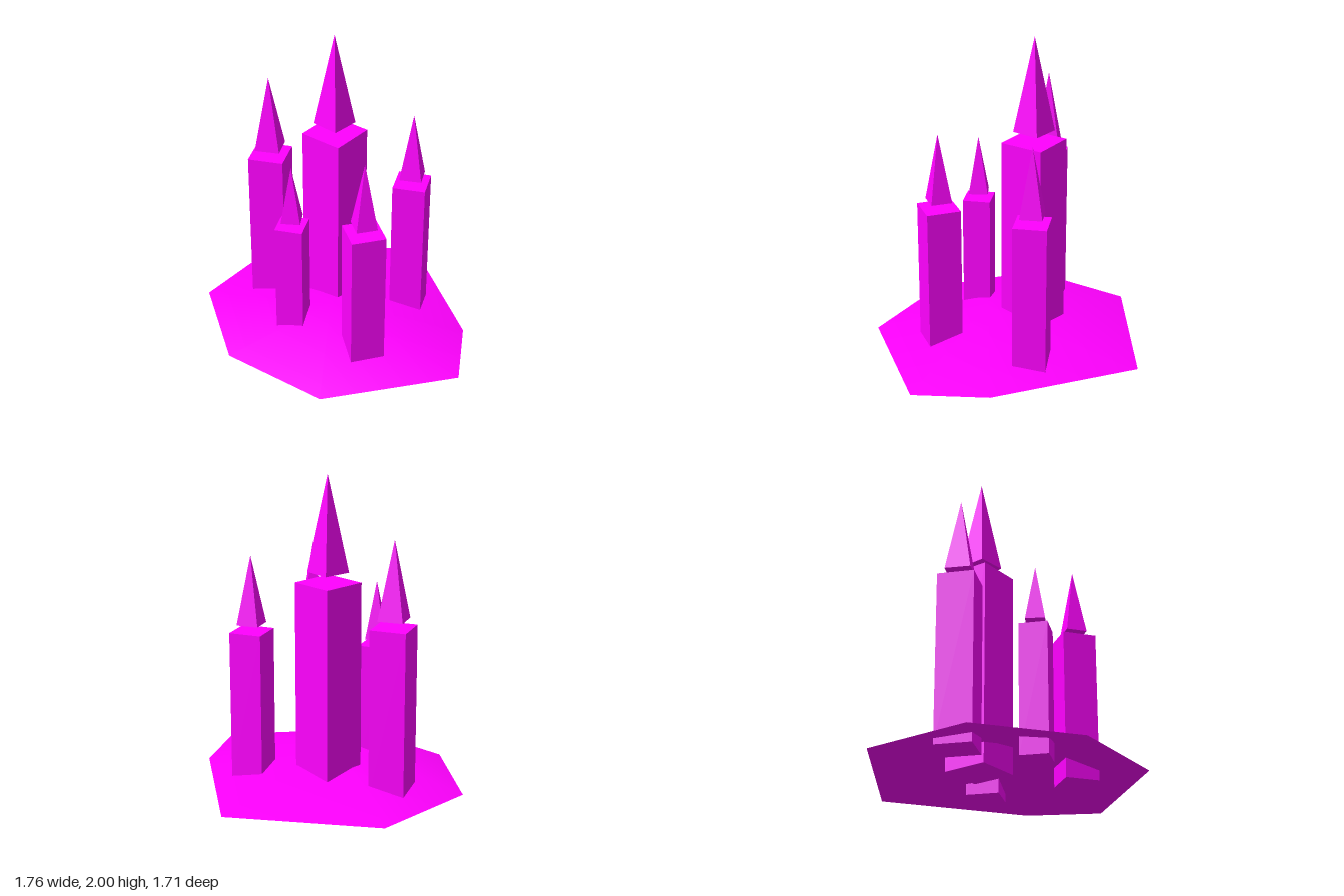
import * as THREE from 'three';

const magenta = { color: 0xff00ff };
const stone = new THREE.MeshStandardMaterial({ ...magenta, flatShading: true });
const earth = new THREE.MeshStandardMaterial({ ...magenta, side: THREE.DoubleSide });

// Open, shallow mound: a fan from its peak to an irregular outline on the ground
function makeMound() {
  const outline = [
    [-0.885, -0.115], [-0.54, -0.745], [0.45, -0.86], [0.87, 0.025],
    [0.88, 0.51], [0.05, 0.85], [-0.6, 0.525],
  ];
  const peak = [0, 0.195, 0.12];
  const positions = [...peak, ...outline.flatMap(([x, z]) => [x, 0, z])];
  const n = outline.length;
  const index = [];
  for (let i = 0; i < n; i++) index.push(0, 1 + ((i + 1) % n), 1 + i);

  const geometry = new THREE.BufferGeometry();
  geometry.setAttribute('position', new THREE.Float32BufferAttribute(positions, 3));
  geometry.setIndex(index);
  geometry.computeVertexNormals();
  const mound = new THREE.Mesh(geometry, earth);
  mound.name = 'mound';
  return mound;
}

// Square shaft with a four-sided spire floating just above it
function makeTower({ name, x, z, width, top, turn, spireBase, spireTip, spireRadius, spireTurn }) {
  const tower = new THREE.Group();
  tower.name = name;
  tower.position.set(x, 0, z);

  const shaft = new THREE.Mesh(new THREE.BoxGeometry(width, top, width), stone);
  shaft.name = 'shaft';
  shaft.position.y = top / 2;
  shaft.rotation.y = turn;

  const height = spireTip - spireBase;
  const spire = new THREE.Mesh(new THREE.ConeGeometry(spireRadius, height, 4), stone);
  spire.name = 'spire';
  spire.position.y = spireBase + height / 2;
  spire.rotation.y = spireTurn;

  tower.add(shaft, spire);
  return tower;
}

export function createModel() {
  const model = new THREE.Group();
  model.name = 'castle';
  model.add(makeMound());

  const q = Math.PI / 4;
  const towers = [
    { name: 'mainTower', x: -0.02, z: -0.168, width: 0.293, top: 1.325, turn: -0.517,
      spireBase: 1.39, spireTip: 2, spireRadius: 0.131, spireTurn: 0.2 },
    { name: 'backRightTower', x: -0.455, z: -0.233, width: 0.229, top: 1.09, turn: -0.09,
      spireBase: 1.14, spireTip: 1.635, spireRadius: 0.113, spireTurn: q - 0.06 },
    { name: 'backLeftTower', x: 0.476, z: -0.194, width: 0.21, top: 0.985, turn: -0.09,
      spireBase: 1.03, spireTip: 1.47, spireRadius: 0.1, spireTurn: q - 0.07 },
    { name: 'frontRightTower', x: -0.236, z: 0.204, width: 0.178, top: 0.845, turn: -0.09,
      spireBase: 0.885, spireTip: 1.26, spireRadius: 0.087, spireTurn: q + 0.04 },
    { name: 'frontLeftTower', x: 0.252, z: 0.4, width: 0.217, top: 0.97, turn: 0.43,
      spireBase: 1.015, spireTip: 1.45, spireRadius: 0.094, spireTurn: q + 0.42 },
  ];
  for (const spec of towers) model.add(makeTower(spec));
  return model;
}
